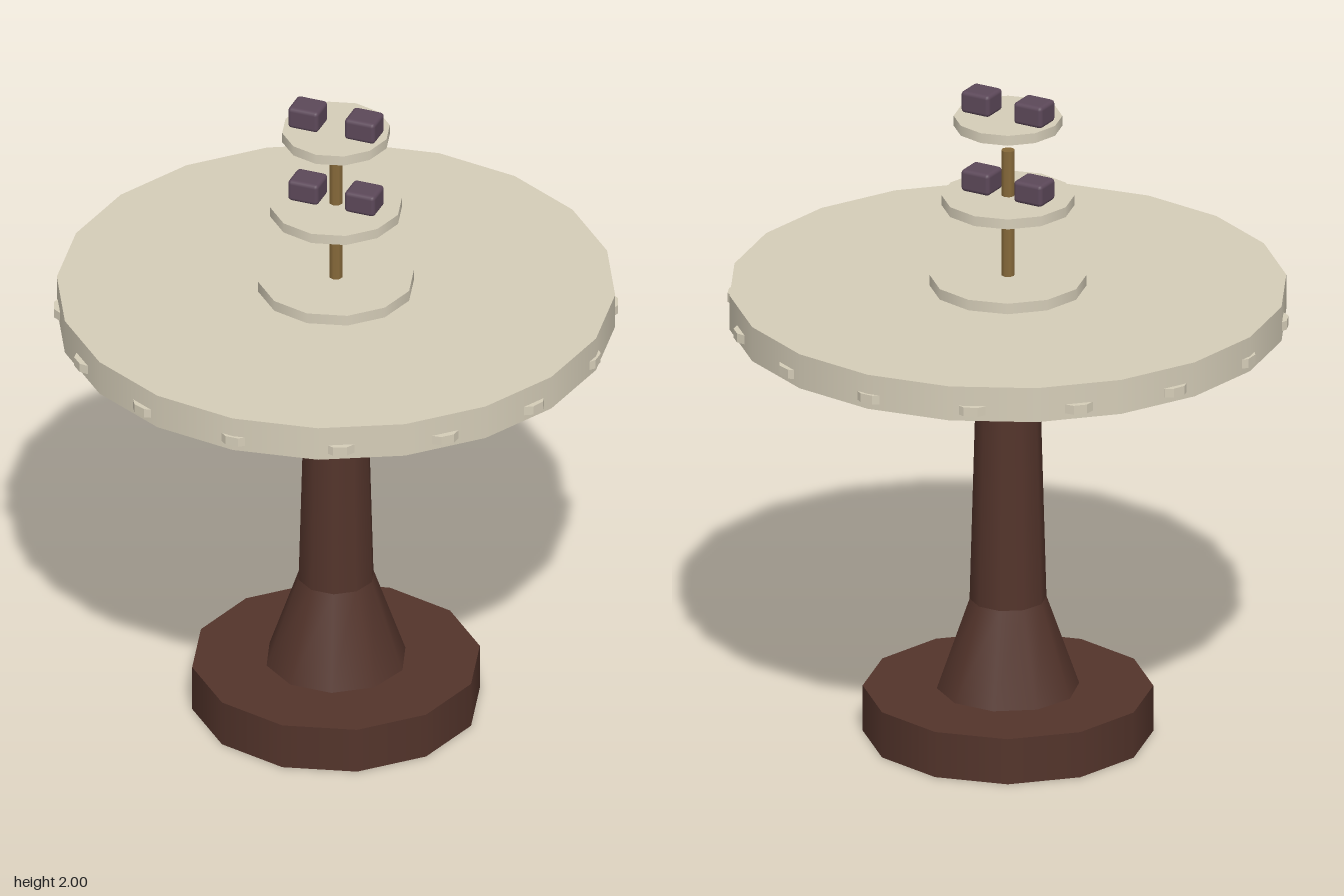
import * as THREE from 'three';
import { RoundedBoxGeometry } from 'three/addons/geometries/RoundedBoxGeometry.js';

const material = (name, color) => {
  const m = new THREE.MeshStandardMaterial({ color });
  m.name = name;
  return m;
};

export function createModel() {
  const model = new THREE.Group();
  model.name = 'pedestalTable';
  const cream = material('cream', 0xd5cdb8);
  const brown = material('darkWood', 0x53342b);
  const brass = material('brass', 0x86693a);
  const plum = material('plum', 0x5c4859);

  const add = (name, geometry, mat, parent = model) => {
    const mesh = new THREE.Mesh(geometry, mat);
    mesh.name = name;
    parent.add(mesh);
    return mesh;
  };
  // Upright disc or rod between two heights
  const disc = (name, radius, y0, y1, sides, mat) => {
    const mesh = add(name, new THREE.CylinderGeometry(radius, radius, y1 - y0, sides), mat);
    mesh.position.y = (y0 + y1) / 2;
    return mesh;
  };

  // Foot and waisted column
  disc('base', 0.425, 0, 0.142, 12, brown);
  const profile = [[0.21, 0.14], [0.113, 0.42], [0.095, 1.07], [0.21, 1.297]];
  for (let i = 0; i < profile.length - 1; i++) {
    const [r0, y0] = profile[i], [r1, y1] = profile[i + 1];
    const section = add('columnSection' + (i + 1),
      new THREE.CylinderGeometry(r1, r0, y1 - y0, 10, 1, true), brown);
    section.position.y = (y0 + y1) / 2;
    section.rotation.y = Math.PI / 2;
  }

  // Table top with bevelled pulls around the rim
  disc('tableTop', 0.818, 1.295, 1.402, 20, cream);
  const outline = new THREE.Shape([[-0.042, 0.79], [0.042, 0.79], [0.042, 0.808],
    [0.02, 0.825], [-0.02, 0.825], [-0.042, 0.808]].map(([x, y]) => new THREE.Vector2(x, y)));
  const pullGeometry = new THREE.ExtrudeGeometry(outline, { depth: 0.028, bevelEnabled: false });
  pullGeometry.rotateX(Math.PI / 2);
  const pulls = new THREE.Group();
  pulls.name = 'rimPulls';
  model.add(pulls);
  for (let i = 0; i < 16; i++) {
    const pull = add('rimPull', pullGeometry, cream, pulls);
    pull.position.y = 1.342;
    pull.rotation.y = i * Math.PI / 8;
  }

  // Tiered stand
  disc('lowerTier', 0.23, 1.4, 1.435, 12, cream);
  disc('pole', 0.02, 1.43, 1.828, 8, brass);
  disc('middleTier', 0.195, 1.655, 1.686, 12, cream);
  disc('upperTier', 0.159, 1.904, 1.935, 12, cream);

  // Pairs of small cakes on the two upper tiers
  const cakeGeometry = new RoundedBoxGeometry(0.096, 0.068, 0.086, 2, 0.012);
  for (const y of [1.719, 1.966]) {
    for (const side of [-1, 1]) {
      add('cake', cakeGeometry, plum).position.set(side * 0.089, y, 0);
    }
  }
  return model;
}
